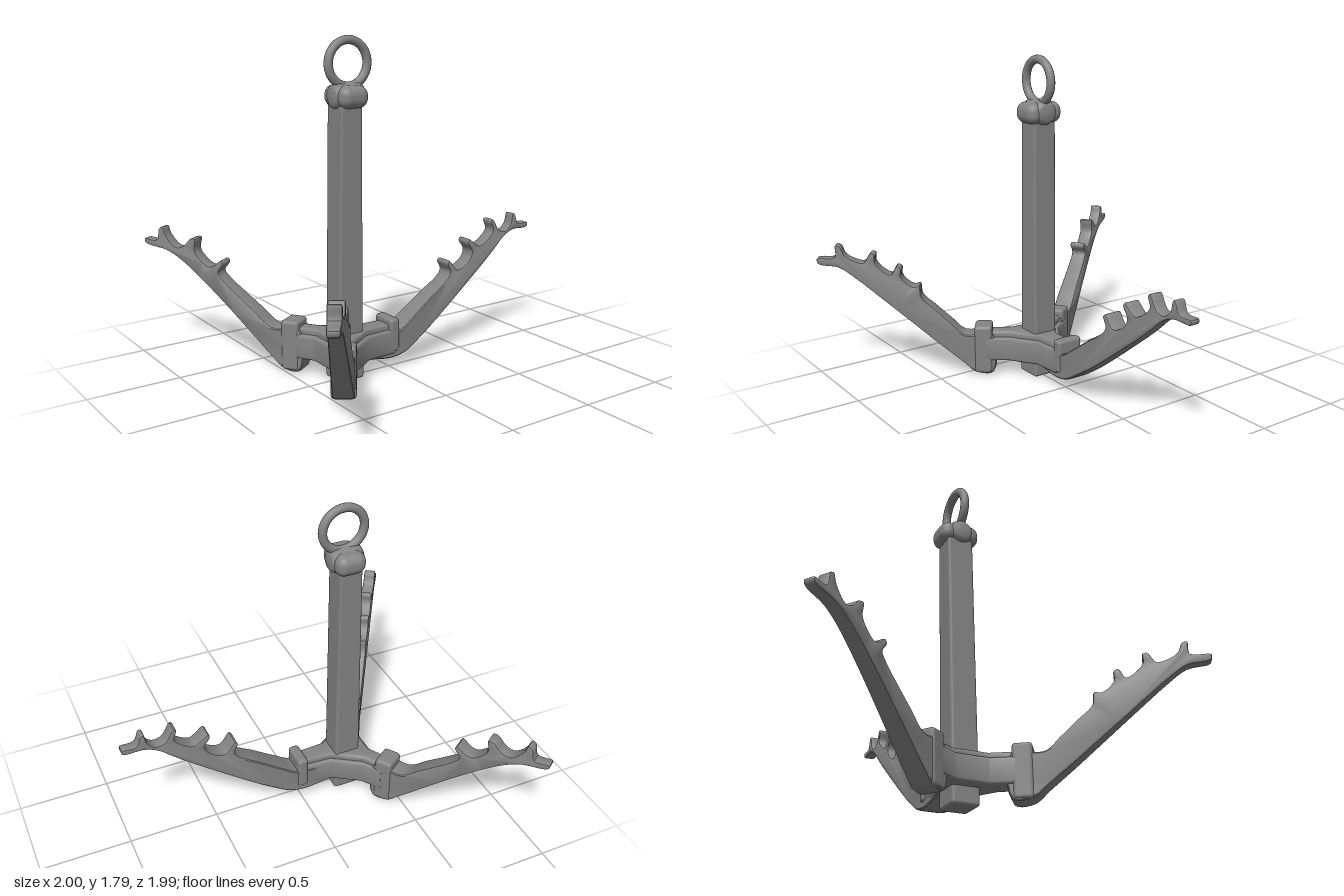
import * as THREE from 'three';
import { toCreasedNormals } from 'three/addons/utils/BufferGeometryUtils.js';
import { RoundedBoxGeometry } from 'three/addons/geometries/RoundedBoxGeometry.js';

const material = new THREE.MeshStandardMaterial({ color: 0x848484 });
const HUB_Z = 0.275;

function add(parent, name, geometry, x = 0, y = 0, z = 0) {
  const mesh = new THREE.Mesh(geometry, material);
  mesh.name = name;
  mesh.position.set(x, y, z);
  parent.add(mesh);
  return mesh;
}

// Smooth closed side profile, extruded and tapered in width towards the tip
function flukeGeometry(points, stretch, baseWidth, tipWidth) {
  const curve = new THREE.CatmullRomCurve3(
    points.map(([x, y]) => new THREE.Vector3(x / stretch, y, 0)), true, 'centripetal');
  const outline = curve.getPoints(points.length * 5).slice(0, -1);
  const shape = new THREE.Shape(outline.map(p => new THREE.Vector2(p.x, p.y)));
  const geo = new THREE.ExtrudeGeometry(shape, {
    depth: 0.76, bevelThickness: 0.12, bevelSize: 0.008, bevelOffset: -0.008, bevelSegments: 2,
  });
  geo.translate(0, 0, -0.38);
  const tip = Math.max(...outline.map(p => p.x));
  const pos = geo.attributes.position;
  for (let i = 0; i < pos.count; i++) {
    const t = THREE.MathUtils.clamp((pos.getX(i) - 0.27) / (tip - 0.27), 0, 1);
    pos.setZ(i, pos.getZ(i) * THREE.MathUtils.lerp(baseWidth, tipWidth, t));
  }
  return toCreasedNormals(geo, 0.6);
}

// Side profiles: underside out to the tip, then back over the barbs
const backProfile = [
  [0.05, 0.1], [0.15, 0.08], [0.25, 0.066], [0.35, 0.08], [0.45, 0.137], [0.53, 0.19],
  [0.67, 0.293], [0.8, 0.392], [0.93, 0.493], [1.01, 0.56], [1.08, 0.62], [1.15, 0.648],
  [1.262, 0.65], [1.265, 0.675], [1.19, 0.68],
  [1.16, 0.74], [1.145, 0.74], [1.13, 0.685], [1.09, 0.65], [1.04, 0.66], [0.99, 0.73],
  [0.975, 0.72], [0.99, 0.665], [0.95, 0.62], [0.89, 0.59], [0.86, 0.605], [0.81, 0.64],
  [0.8, 0.62], [0.83, 0.57], [0.82, 0.53], [0.77, 0.49], [0.72, 0.48], [0.665, 0.54],
  [0.65, 0.525], [0.67, 0.475], [0.65, 0.44], [0.53, 0.36], [0.4, 0.27], [0.3, 0.21], [0.05, 0.2],
];
const leftProfile = [
  [0.2, 0.02], [0.28, 0.02], [0.34, 0.08], [0.45, 0.19], [0.57, 0.315], [0.7, 0.45],
  [0.815, 0.567], [0.89, 0.63],
  [0.98, 0.65], [0.985, 0.68], [0.905, 0.69], [0.9, 0.755], [0.88, 0.75], [0.86, 0.7],
  [0.82, 0.67], [0.775, 0.66], [0.745, 0.71], [0.725, 0.705], [0.725, 0.66], [0.69, 0.61],
  [0.655, 0.59], [0.63, 0.635], [0.61, 0.625], [0.61, 0.58], [0.585, 0.54], [0.555, 0.52],
  [0.53, 0.525], [0.52, 0.46], [0.46, 0.39], [0.39, 0.31], [0.33, 0.245], [0.2, 0.24],
];
const rightProfile = [
  [0.2, 0.02], [0.28, 0.02], [0.33, 0.07], [0.45, 0.205], [0.58, 0.35], [0.72, 0.495],
  [0.8, 0.565], [0.87, 0.607], [0.98, 0.635], [0.985, 0.66], [0.92, 0.66], [0.905, 0.725],
  [0.885, 0.735], [0.87, 0.69], [0.82, 0.63], [0.78, 0.64], [0.74, 0.685], [0.715, 0.685],
  [0.72, 0.62], [0.69, 0.57], [0.65, 0.54], [0.62, 0.55], [0.585, 0.58], [0.575, 0.56],
  [0.6, 0.51], [0.575, 0.47], [0.5, 0.395], [0.42, 0.32], [0.34, 0.245], [0.2, 0.24],
];

// One fluke with its collar, pointing along its own +x
function arm(name, o) {
  const group = new THREE.Group();
  group.name = name;
  add(group, 'fluke', flukeGeometry(o.profile, o.stretch, o.base, o.tip));
  const [r, length, low, high, width] = o.collar;
  add(group, 'collar', new RoundedBoxGeometry(length, high - low, width, 2, 0.018),
    r, (low + high) / 2, 0);
  group.rotation.y = THREE.MathUtils.degToRad(o.angle);
  group.position.set(o.x, 0, HUB_Z);
  return group;
}

// Three-legged hub plan (half of it mirrored), extruded upwards between two heights
function hubGeometry(low, high, inset) {
  const half = [[0.085, 0.42], [0.2, 0.49], [0.275, 0.385], [0.175, 0.315], [0.13, 0.245],
    [0.08, 0.17], [0.07, 0.0]];
  const plan = [...half, ...half.map(([x, z]) => [-x, z]).reverse()];
  const bevel = 0.014;
  const geo = new THREE.ExtrudeGeometry(
    new THREE.Shape(plan.map(([x, z]) => new THREE.Vector2(x, -z))), {
      depth: high - low - 2 * bevel, bevelThickness: bevel, bevelSize: bevel,
      bevelOffset: -bevel - inset, bevelSegments: 3,
    });
  geo.rotateX(-Math.PI / 2);
  geo.translate(0, low + bevel, 0);
  return toCreasedNormals(geo, 0.6);
}

export function createModel() {
  const model = new THREE.Group();
  model.name = 'grapnelAnchor';

  // Three flukes around the hub
  const front = { base: 0.12, tip: 0.058, collar: [0.3, 0.1, 0.018, 0.292, 0.13], x: 0 };
  model.add(arm('leftArm', { ...front, profile: leftProfile, stretch: 0.815, angle: -35.2 }));
  model.add(arm('rightArm', { ...front, profile: rightProfile, stretch: 0.825, angle: -145.6 }));
  model.add(arm('backArm', {
    profile: backProfile, stretch: 1, base: 0.14, tip: 0.055,
    collar: [0.275, 0.06, 0.1, 0.285, 0.152], angle: 90, x: -0.01,
  }));

  // Hub and its raised, narrower rim
  add(model, 'hub', hubGeometry(0.09, 0.225, 0), -0.005);
  add(model, 'hubRim', hubGeometry(0.19, 0.257, 0.024), -0.005);

  // Square shank, narrowing front to back and leaning slightly
  const shank = new RoundedBoxGeometry(0.14, 1.36, 0.15, 2, 0.014);
  const pos = shank.attributes.position;
  for (let i = 0; i < pos.count; i++) {
    const t = (pos.getY(i) + 0.68) / 1.36;
    pos.setZ(i, pos.getZ(i) * (1 - 0.17 * t) - 0.016 * t);
  }
  add(model, 'shank', shank, -0.01, 0.77, 0.278);

  // Square foot under the hub
  add(model, 'foot', new RoundedBoxGeometry(0.145, 0.14, 0.155, 2, 0.016), -0.01, 0.07, 0.278);

  // Shank head: rounded lug with a round pin through it
  add(model, 'headLug', new RoundedBoxGeometry(0.215, 0.115, 0.165, 5, 0.05), -0.008, 1.487, 0.255);
  const pinProfile = [[0, -0.094], [0.04, -0.091], [0.058, -0.08], [0.067, -0.06],
    [0.067, 0.06], [0.058, 0.08], [0.04, 0.091], [0, 0.094]];
  const pin = add(model, 'headPin',
    new THREE.LatheGeometry(pinProfile.map(p => new THREE.Vector2(...p)), 24), -0.006, 1.49, 0.255);
  pin.rotation.x = Math.PI / 2;

  // Rope ring
  const ring = add(model, 'ring', new THREE.TorusGeometry(0.115, 0.023, 12, 48), -0.002, 1.652, 0.247);
  ring.rotation.y = Math.PI / 2;

  return model;
}
